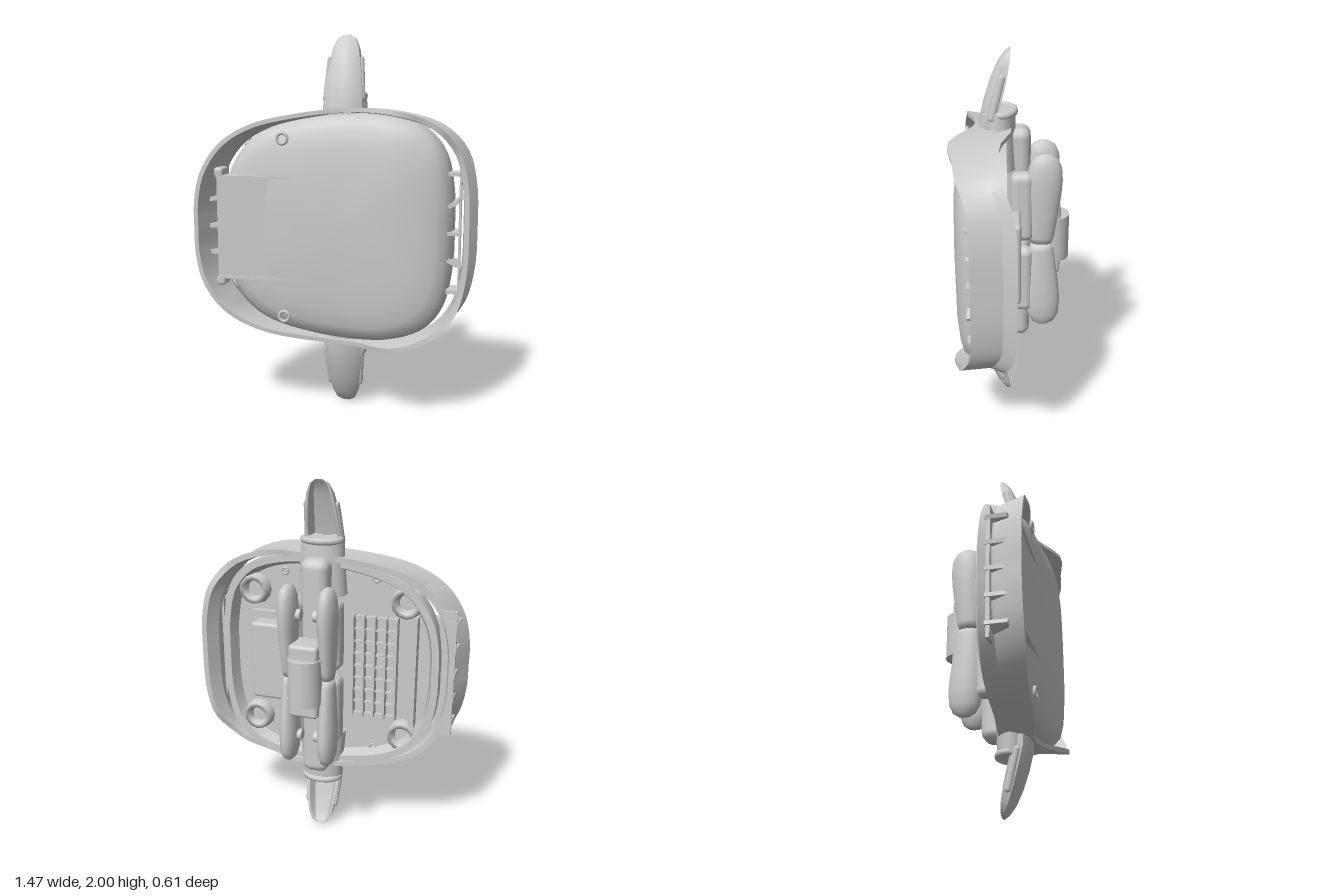
import * as THREE from 'three';
import { toCreasedNormals } from 'three/addons/utils/BufferGeometryUtils.js';
import { RoundedBoxGeometry } from 'three/addons/geometries/RoundedBoxGeometry.js';

const grey = new THREE.MeshStandardMaterial({ color: 0xcccccc, side: THREE.DoubleSide });

function add(parent, name, geometry, x = 0, y = 0, z = 0) {
  const mesh = new THREE.Mesh(geometry, grey);
  mesh.name = name;
  mesh.position.set(x, y, z);
  parent.add(mesh);
  return mesh;
}

const box = (w, h, d, r = 0) => r ? new RoundedBoxGeometry(w, h, d, 3, r) : new THREE.BoxGeometry(w, h, d);

// Skin over closed cross-sections, each an array of [x, y, z]
function loft(rings, crease = 0.6) {
  const n = rings[0].length, index = [];
  for (let i = 0; i < rings.length - 1; i++) {
    for (let j = 0; j < n; j++) {
      const k = (j + 1) % n, a = i * n + j, b = i * n + k, d = a + n, c = b + n;
      index.push(a, d, c, a, c, b);
    }
  }
  const g = new THREE.BufferGeometry();
  g.setAttribute('position', new THREE.Float32BufferAttribute(rings.flat(2), 3));
  g.setIndex(index);
  return toCreasedNormals(g, crease);
}

// Smooth interpolation in a short list of [x, value]
function follow(table, x) {
  if (x <= table[0][0]) return table[0][1];
  for (let i = 1; i < table.length; i++) {
    const [x0, v0] = table[i - 1], [x1, v1] = table[i];
    if (x <= x1) return v0 + (v1 - v0) * THREE.MathUtils.smoothstep(x, x0, x1);
  }
  return table[table.length - 1][1];
}

// Shared outline, upper half mirrored downwards, counter-clockwise
const half = [[0.73, 0], [0.72, 0.24], [0.67, 0.42], [0.55, 0.545], [0.35, 0.61], [0.1, 0.625],
  [-0.2, 0.595], [-0.45, 0.535], [-0.6, 0.44], [-0.7, 0.29], [-0.735, 0.13], [-0.737, 0]];
const loop = [...half, ...half.slice(1, -1).reverse().map(([x, y]) => [x, -y])];
const outline = new THREE.CatmullRomCurve3(loop.map(([x, y]) => new THREE.Vector3(x, y, 0)), true)
  .getPoints(80).slice(0, 80);

const frontEdge = [[-0.74, 0.27], [-0.4, 0.24], [0.05, 0.18], [0.36, 0.305], [0.55, 0.27], [0.73, 0.2]];
const rearEdge = [[-0.7, 0.05], [-0.35, 0.035], [0, 0], [0.15, 0], [0.37, 0.06], [0.58, 0.045], [0.73, -0.02]];
const domeFront = [[-0.62, 0.24], [0, 0.268], [0.36, 0.3], [0.5, 0.295], [0.62, 0.27]];

// Waved surrounding frame: each row is scale at +x, scale at -x, scale in y, place between rear and front
function frameGeometry() {
  const rows = [[0.91, 0.97, 0.965, 1], [0.945, 1, 1, 1], [0.935, 0.9, 0.98, 0.3],
    [1, 0.945, 0.99, 0], [0.96, 0.905, 0.945, 0], [0.9, 0.87, 0.945, 0.3], [0.91, 0.97, 0.965, 1]];
  return loft(rows.map(([right, left, ky, t]) => outline.map(p => {
    const kx = THREE.MathUtils.lerp(left, right, THREE.MathUtils.smoothstep(p.x, -0.73, 0.73));
    const z = THREE.MathUtils.lerp(follow(rearEdge, p.x), follow(frontEdge, p.x), t);
    return [p.x * kx, p.y * ky, z];
  })));
}

// Domed housing with a hollow back
function housingGeometry() {
  const dome = [[0, 0], [0.25, 0.002], [0.5, 0.008], [0.7, 0.018], [0.85, 0.032], [0.93, 0.05], [0.98, 0.085], [1, 0.13]];
  const back = [[1, 0.025], [0.94, 0.025], [0.9, 0.09], [0, 0.09]];
  const at = (p, s) => [p.x * 0.84 * s, p.y * 0.955 * s];
  return loft([
    ...dome.map(([s, drop]) => outline.map(p => [...at(p, s), follow(domeFront, p.x * 0.84 * s) - drop])),
    ...back.map(([s, z]) => outline.map(p => [...at(p, s), z])),
  ]);
}

// Curved fin, hollow behind: rows are height, half width, front z, rear z
function finGeometry() {
  const rows = [[0.55, 0.105, 0.165, 0.07], [0.65, 0.103, 0.16, 0.08], [0.75, 0.096, 0.137, 0.05],
    [0.85, 0.084, 0.105, 0.025], [0.93, 0.07, 0.07, 0.01], [0.98, 0.05, 0.035, 0.004], [1, 0.02, 0.012, 0.004]];
  const rings = rows.map(([y, w, f, b]) => {
    const d = f - b;
    return [[w, b], [w * 0.97, f - d * 0.35], [w * 0.6, f - d * 0.05], [0, f], [-w * 0.6, f - d * 0.05],
      [-w * 0.97, f - d * 0.35], [-w, b], [-w * 0.82, b], [-w * 0.6, f - d * 0.45], [w * 0.6, f - d * 0.45], [w * 0.82, b]]
      .map(([x, z]) => [x, y, z]);
  });
  rings.push(rings[rings.length - 1].map(() => [0, 1, 0.008]));
  return loft(rings, 0.8);
}

// Upper half of the vertical mount; the lower half is the same turned over
function mountHalf() {
  const g = new THREE.Group();
  add(g, 'fin', finGeometry());
  add(g, 'finSocket', new THREE.CylinderGeometry(0.112, 0.135, 0.3, 28), 0, 0.55, 0.062).scale.z = 0.72;
  add(g, 'socketCollar', new THREE.TorusGeometry(0.1, 0.018, 8, 28).rotateX(Math.PI / 2), 0, 0.69, 0.05).scale.z = 0.72;
  add(g, 'spine', box(0.15, 0.62, 0.16, 0.05), 0, 0.3, -0.02);
  const profile = [[0, 0], [0.055, 0.005], [0.066, 0.04], [0.078, 0.15], [0.09, 0.28], [0.092, 0.36],
    [0.083, 0.43], [0.06, 0.475], [0.03, 0.493], [0, 0.497]].map(p => new THREE.Vector2(...p));
  for (const side of [-1, 1]) {
    // Long slot plate along the edge of the fin
    const slot = add(g, 'finSlot', new THREE.CapsuleGeometry(0.018, 0.2, 4, 10), side * 0.093, 0.775, 0.072);
    slot.rotation.set(-0.25, 0, side * 0.07);
    slot.scale.x = 0.6;
    const lobe = add(g, 'hingeLobe', new THREE.LatheGeometry(profile, 24), side * 0.108, 0, -0.155);
    lobe.scale.x = 0.56;
    lobe.rotation.x = -0.04;
    add(g, 'innerLobe', box(0.09, 0.38, 0.12, 0.04), side * 0.105, 0.21, -0.055);
    add(g, 'hingePin', new THREE.CylinderGeometry(0.03, 0.03, 0.04, 16).rotateZ(Math.PI / 2), side * 0.055, 0.34, -0.17);
  }
  return g;
}

export function createModel() {
  const model = new THREE.Group();
  model.name = 'mountedHousing';
  const shell = new THREE.Group();
  shell.name = 'shell';
  shell.position.y = 1.005;
  model.add(shell);
  add(shell, 'frame', frameGeometry());
  add(shell, 'housing', housingGeometry());

  // Flat channel on the front with its two ridges
  add(shell, 'channel', box(0.5, 0.54, 0.12), -0.37, 0, 0.178);
  for (const s of [-1, 1]) {
    add(shell, 'channelRidge', box(0.5, 0.014, 0.1), -0.37, s * 0.268, 0.2);
    add(shell, 'screwEye', new THREE.TorusGeometry(0.027, 0.009, 8, 18), -0.265, s * 0.47, 0.235);
    add(shell, 'channelEnd', box(0.05, 0.05, 0.1, 0.015), -0.61, s * 0.29, 0.19);
  }

  // Struts and vents between housing and frame
  for (let i = -2; i <= 2; i++) {
    add(shell, 'leftStrut', box(0.09, 0.022, 0.11), -0.65, i * 0.145, 0.14).rotation.z = i * 0.12;
    add(shell, 'rightVentRib', box(0.06, 0.018, 0.12), 0.61, i * 0.15, 0.16).rotation.z = (i % 2) * 0.5;
  }
  add(shell, 'leftVentPanel', box(0.09, 0.7, 0.02), -0.645, 0, 0.1);
  add(shell, 'rightVentRail', box(0.012, 0.72, 0.1), 0.642, 0, 0.13);

  // Corner bosses inside the hollow back
  for (const x of [-0.43, 0.43]) {
    for (const s of [-1, 1]) {
      const ring = [[0.045, 0.045], [0.055, 0], [0.08, 0], [0.09, 0.06]].map(p => new THREE.Vector2(...p));
      add(shell, 'cornerBoss', new THREE.LatheGeometry(ring, 12).rotateX(Math.PI / 2), x, s * 0.38, 0.035);
      add(shell, 'backScrew', new THREE.TorusGeometry(0.018, 0.007, 6, 14), x * 0.6, s * 0.49, 0.085);
    }
  }

  // Cooling grille and control box on the back
  for (let i = 0; i < 5; i++) add(shell, 'grilleBar', box(0.014, 0.58, 0.05), -0.14 - i * 0.06, 0, 0.07);
  for (let i = -4; i <= 4; i++) add(shell, 'grilleRow', box(0.25, 0.01, 0.03), -0.26, i * 0.07, 0.078);
  add(shell, 'backRail', box(0.03, 0.62, 0.06), -0.48, 0, 0.065);
  add(shell, 'controlBox', box(0.2, 0.44, 0.13, 0.018), 0.315, 0, 0.02);
  add(shell, 'controlBoxBase', box(0.26, 0.52, 0.05), 0.315, 0, 0.075);

  // Vertical mount with rear hinge
  const mount = new THREE.Group();
  mount.name = 'mount';
  mount.position.set(0.033, 1, 0);
  model.add(mount);
  const upper = mountHalf(), lower = mountHalf();
  upper.name = 'upperMount';
  lower.name = 'lowerMount';
  lower.rotation.z = Math.PI;
  mount.add(upper, lower);
  add(mount, 'hingeBlock', box(0.16, 0.4, 0.16, 0.02), 0, 0, -0.18);
  add(mount, 'hingeBarrel', new THREE.CylinderGeometry(0.09, 0.09, 0.25, 32), 0, 0, -0.22);
  return model;
}
